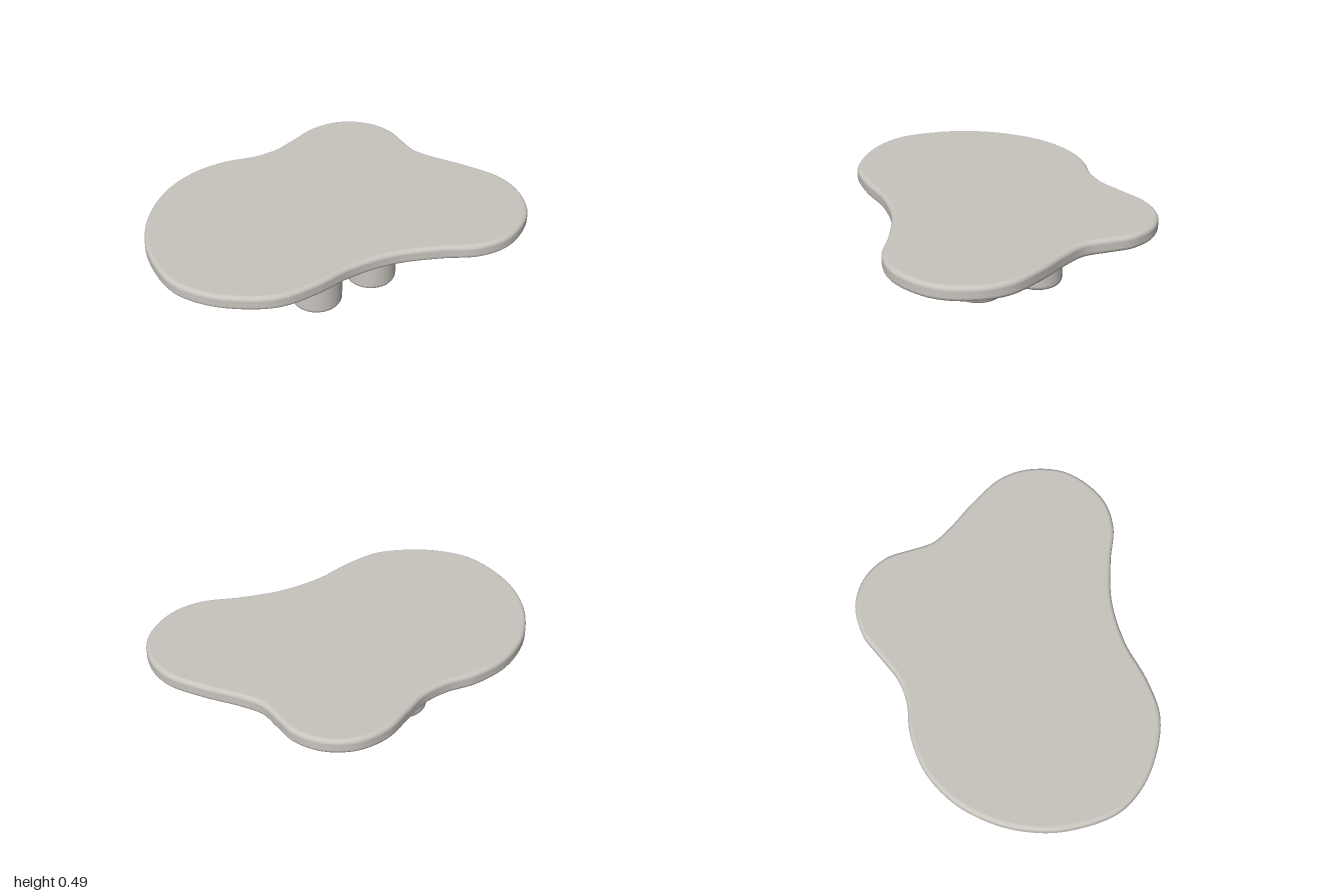
import * as THREE from 'three';

const BOTTOM = 0.405, TOP = 0.488, EDGE = 0.025;
const LEG_RADIUS = 0.145, LEG_FILLET = 0.03;

// Free-form table outline as [x, z], starting at the right-hand tip and running round the back
const OUTLINE = [
  [-1, -0.13], [-0.925, -0.4], [-0.8, -0.587], [-0.66, -0.71], [-0.48, -0.805], [-0.26, -0.843],
  [-0.05, -0.805], [0.1, -0.735], [0.245, -0.706], [0.405, -0.722], [0.583, -0.74],
  [0.755, -0.687], [0.872, -0.56], [0.91, -0.4], [0.882, -0.265], [0.853, -0.13],
  [0.882, 0], [0.952, 0.2], [0.998, 0.415], [0.957, 0.59], [0.823, 0.757], [0.583, 0.837],
  [0.396, 0.794], [0.22, 0.66], [0.005, 0.527], [-0.235, 0.455], [-0.476, 0.436],
  [-0.69, 0.377], [-0.888, 0.195], [-0.98, 0.02],
];

// Quarter-circle steps, as [cos, sin]
function quarter(from, steps = 6) {
  return Array.from({ length: steps + 1 }, (_, i) => {
    const a = from + (i / steps) * Math.PI / 2;
    return [Math.cos(a), Math.sin(a)];
  });
}

function createTop(material) {
  const top = new THREE.Group();
  top.name = 'tableTop';
  const curve = new THREE.CatmullRomCurve3(
    OUTLINE.map(([x, z]) => new THREE.Vector3(x, 0, z)), true, 'centripetal');
  const count = 240;
  const rim = [];
  for (let i = 0; i < count; i++) {
    const p = curve.getPointAt(i / count), t = curve.getTangentAt(i / count);
    rim.push({ x: p.x, z: p.z, nx: t.z, nz: -t.x });
  }

  // Rounded rim: the edge profile swept round the outline
  const profile = [
    ...quarter(-Math.PI / 2).map(([c, s]) => [c, s, BOTTOM + EDGE]),
    ...quarter(0).map(([c, s]) => [c, s, TOP - EDGE]),
  ];
  const positions = [], normals = [], index = [];
  profile.forEach(([c, s, y], j) => {
    rim.forEach((p, i) => {
      const out = EDGE * (c - 1);
      positions.push(p.x + p.nx * out, y + EDGE * s, p.z + p.nz * out);
      normals.push(p.nx * c, s, p.nz * c);
      if (j === profile.length - 1) return;
      const a = j * count + i, b = j * count + (i + 1) % count;
      index.push(a, a + count, b, b, a + count, b + count);
    });
  });
  const rimGeometry = new THREE.BufferGeometry();
  rimGeometry.setAttribute('position', new THREE.Float32BufferAttribute(positions, 3));
  rimGeometry.setAttribute('normal', new THREE.Float32BufferAttribute(normals, 3));
  rimGeometry.setIndex(index);
  const rimMesh = new THREE.Mesh(rimGeometry, material);
  rimMesh.name = 'topRim';
  top.add(rimMesh);

  // Flat upper and lower faces
  for (const [name, side, y] of [['upperFace', 1, TOP], ['lowerFace', -1, BOTTOM]]) {
    const shape = new THREE.Shape(rim.map(p =>
      new THREE.Vector2(p.x - p.nx * EDGE, -side * (p.z - p.nz * EDGE))));
    const face = new THREE.Mesh(
      new THREE.ShapeGeometry(shape).rotateX(-side * Math.PI / 2).translate(0, y, 0), material);
    face.name = name;
    top.add(face);
  }
  return top;
}

export function createModel() {
  const model = new THREE.Group();
  model.name = 'coffeeTable';
  const stone = new THREE.MeshStandardMaterial({ color: 0xc8c4be });
  stone.name = 'warm grey';
  model.add(createTop(stone));

  // Four thick round legs with a rounded foot, on a slightly turned square
  const inner = LEG_RADIUS - LEG_FILLET;
  const profile = [
    new THREE.Vector2(0, 0), new THREE.Vector2(inner - 0.003, 0),
    ...quarter(-Math.PI / 2).map(([c, s]) =>
      new THREE.Vector2(inner + LEG_FILLET * c, LEG_FILLET * (1 + s))),
    new THREE.Vector2(LEG_RADIUS, BOTTOM),
  ];
  const legGeometry = new THREE.LatheGeometry(profile, 48);
  const legs = {
    frontLeftLeg: [0.237, 0.125], frontRightLeg: [-0.14, 0.073],
    backLeftLeg: [0.286, -0.235], backRightLeg: [-0.09, -0.287],
  };
  for (const [name, [x, z]] of Object.entries(legs)) {
    const leg = new THREE.Mesh(legGeometry, stone);
    leg.name = name;
    leg.position.set(x, 0, z);
    model.add(leg);
  }
  return model;
}
